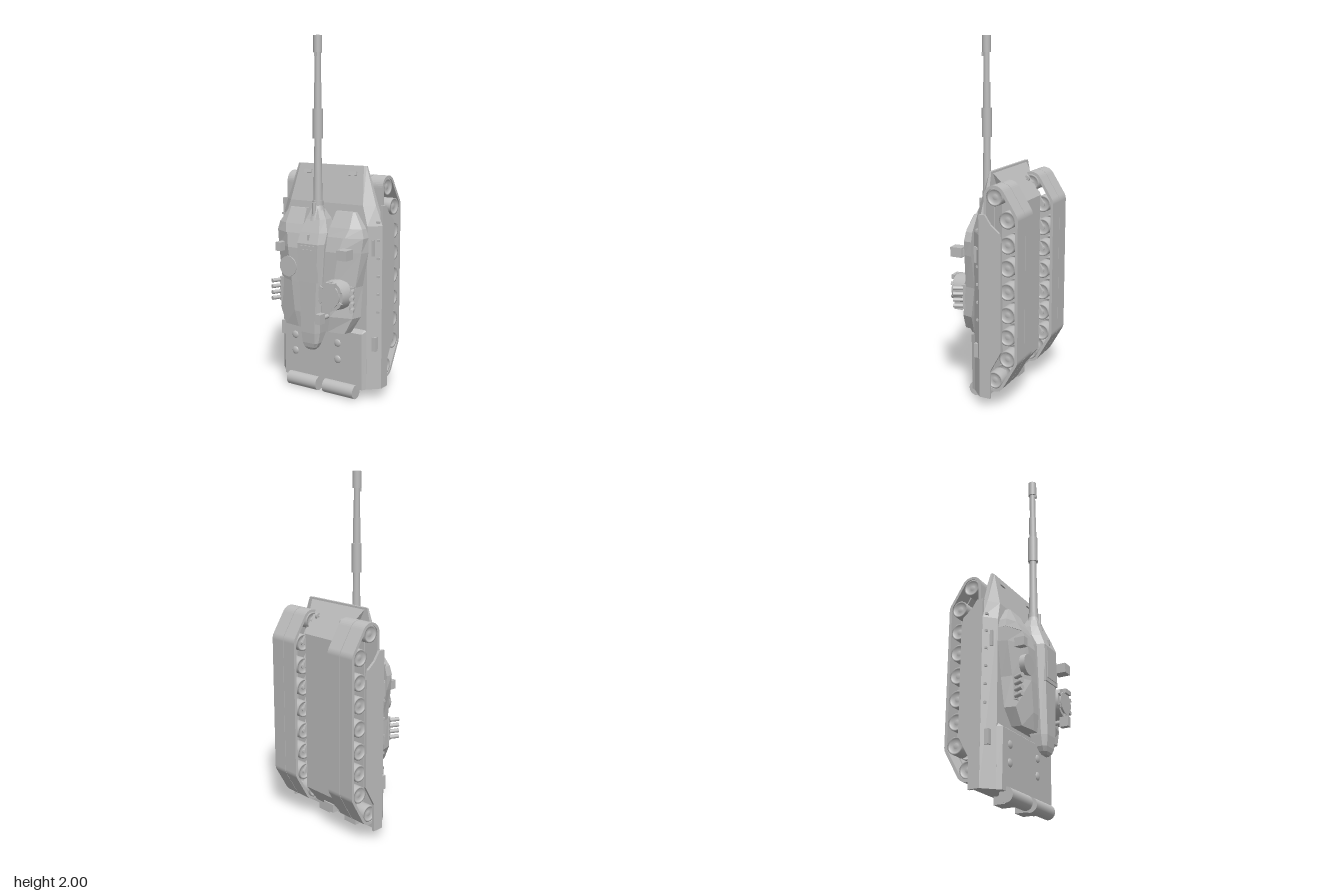
import * as THREE from 'three';

const grey = new THREE.MeshStandardMaterial({ color: 0xbcbcbc });
grey.name = 'light grey paint';

export function createModel() {
  const root = new THREE.Group();
  root.name = 'tank';

  const add = (name, geo, x = 0, y = 0, z = 0) => {
    const m = new THREE.Mesh(geo, grey);
    m.name = name;
    m.position.set(x, y, z);
    root.add(m);
    return m;
  };
  const box = (name, w, h, d, x, y, z) => add(name, new THREE.BoxGeometry(w, h, d), x, y, z);
  const cyl = (name, axis, r1, r2, len, x, y, z, seg = 20) => {
    const g = new THREE.CylinderGeometry(r1, r2, len, seg);
    if (axis === 'x') g.rotateZ(-Math.PI / 2);
    if (axis === 'z') g.rotateX(Math.PI / 2);
    return add(name, g, x, y, z);
  };

  // Flat-faced loft along y; every section is [y, [x, z], [x, z], ...]
  const loft = (name, sections) => {
    const rings = sections.map(([y, ...p]) => p.map(([x, z]) => [x, y, z]));
    const v = [], n = rings[0].length;
    for (let i = 0; i + 1 < rings.length; i++)
      for (let j = 0; j < n; j++) {
        const k = (j + 1) % n, a = rings[i], b = rings[i + 1];
        v.push(...a[j], ...a[k], ...b[k], ...a[j], ...b[k], ...b[j]);
      }
    const first = rings[0], last = rings[rings.length - 1];
    for (let j = 1; j + 1 < n; j++) {
      v.push(...first[0], ...first[j + 1], ...first[j]);
      v.push(...last[0], ...last[j], ...last[j + 1]);
    }
    const g = new THREE.BufferGeometry();
    g.setAttribute('position', new THREE.Float32BufferAttribute(v, 3));
    g.computeVertexNormals();
    return add(name, g);
  };
  const flip = (p) => p.map(([x, z]) => [-x, z]).reverse();
  // Symmetric loft from the +x half of each section, listed deck to belly
  const symLoft = (name, sections) => loft(name, sections.map(([y, ...p]) => [y, ...flip(p), ...p]));
  const sideLoft = (name, s, sections) =>
    loft(name, s > 0 ? sections : sections.map(([y, ...p]) => [y, ...flip(p)]));

  // Extrusion across x of a shape drawn in (-z, y)
  const extrudeX = (name, shape, x0, x1) => {
    const g = new THREE.ExtrudeGeometry(shape, { depth: x1 - x0, bevelEnabled: false, curveSegments: 8 });
    g.rotateY(Math.PI / 2);
    return add(name, g, x0);
  };

  // Hull
  symLoft('upperHull', [
    [0.06, [0.28, 0.03], [0.34, -0.03], [0.34, -0.07]],
    [0.98, [0.28, 0.03], [0.34, -0.03], [0.34, -0.06]],
    [1.09, [0.245, 0.02], [0.3, -0.025], [0.3, -0.06]],
    [1.3, [0.215, -0.035], [0.23, -0.04], [0.23, -0.05]],
  ]);
  symLoft('lowerHull', [
    [0.09, [0.13, 0], [0.13, -0.09]],
    [0.2, [0.13, 0], [0.13, -0.175]],
    [1.12, [0.13, 0], [0.13, -0.175]],
    [1.29, [0.21, -0.037], [0.21, -0.05]],
  ]);
  symLoft('engineDeck', [
    [0.06, [0.265, 0.055], [0.285, 0.02]],
    [0.38, [0.265, 0.058], [0.285, 0.02]],
    [0.4, [0.265, 0.03], [0.285, 0.02]],
  ]);
  cyl('turretRing', 'z', 0.24, 0.24, 0.04, 0, 0.72, 0.03, 40);
  box('towHitch', 0.08, 0.05, 0.05, 0, 0.1, -0.1);
  for (const x of [-0.19, 0.105])
    for (const y of [0.21, 0.305]) {
      const knob = add('deckVent', new THREE.SphereGeometry(0.023, 14, 8), x, y, 0.055);
      knob.scale.z = 0.4;
    }

  // Track path: a band wrapped around four circles, in (-z, y)
  const centres = [[0.112, 0.165], [0.188, 0.3], [0.188, 1.07], [0.115, 1.185]];
  const wrap = (target, r) => {
    const normal = (a, b) => Math.atan2(a[0] - b[0], b[1] - a[1]);
    centres.forEach((c, i) => {
      const a0 = normal(centres[(i + 3) % 4], c), a1 = normal(c, centres[(i + 1) % 4]);
      target.absarc(c[0], c[1], r, a0, a1 < a0 ? a1 + 2 * Math.PI : a1, false);
    });
    return target;
  };
  const makeBand = (outer, inner) => {
    const shape = wrap(new THREE.Shape(), outer);
    shape.holes.push(wrap(new THREE.Path(), inner));
    return shape;
  };
  const band = makeBand(0.063, 0.047), guideBand = makeBand(0.05, 0.04);

  // Dished wheel turned about x
  const wheelGeo = new THREE.LatheGeometry([
    [0, -0.03], [0.014, -0.03], [0.016, -0.026], [0.036, -0.028], [0.038, -0.036], [0.047, -0.036],
    [0.047, 0.036], [0.038, 0.036], [0.036, 0.028], [0.016, 0.026], [0.014, 0.03], [0, 0.03],
  ].map(([r, h]) => new THREE.Vector2(r, h)), 20).toNonIndexed().rotateZ(-Math.PI / 2);
  const wheels = [[0.165, -0.112], [0.3, -0.188], [0.425, -0.188], [0.55, -0.188], [0.68, -0.188],
    [0.81, -0.188], [0.935, -0.188], [1.07, -0.188], [1.185, -0.115]];

  const skirt = new THREE.Shape([[-0.03, 0.06], [-0.03, 1.09], [-0.065, 1.09], [-0.1, 1.04],
    [-0.15, 1.0], [-0.16, 0.95], [-0.16, 0.34], [-0.095, 0.22], [-0.095, 0.06]]
    .map(([z, y]) => new THREE.Vector2(-z, y)));

  for (const s of [-1, 1]) {
    const span = (a, b) => (s > 0 ? [a, b] : [-b, -a]);
    // Running gear
    extrudeX('innerTrack', band, ...span(0.138, 0.23));
    extrudeX('trackGuide', guideBand, ...span(0.229, 0.235));
    extrudeX('outerTrack', band, ...span(0.233, 0.325));
    extrudeX('sideSkirt', skirt, ...span(0.326, 0.341));
    wheels.forEach(([y, z], i) => {
      add('innerWheel', wheelGeo, s * 0.168, y, z);
      add('outerWheel', wheelGeo, s * 0.284, y, z);
      cyl('axle', 'x', 0.014, 0.014, 0.17, s * 0.215, y, z, 10);
      if (i > 0 && i < 8) {
        const arm = box('suspensionArm', 0.02, 0.08, 0.025, s * 0.135, y + 0.03, z + 0.02);
        arm.rotation.x = 0.5;
      }
    });
    // Hull fittings
    for (let y = 0.5; y < 1; y += 0.1) box('skirtClip', 0.02, 0.012, 0.012, s * 0.322, y, -0.014);
    box('sideGrille', 0.035, 0.08, 0.03, s * 0.308, 0.32, -0.005);
    box('sideStowage', 0.012, 0.09, 0.03, s * 0.305, 0.86, 0);
    const lamp = box('headlight', 0.052, 0.022, 0.02, s * 0.152, 1.255, -0.026);
    lamp.rotation.x = -0.3;
    box('towBracket', 0.03, 0.035, 0.02, s * 0.1, 1.2, -0.1);
    cyl('towHook', 'x', 0.017, 0.017, 0.014, s * 0.1, 1.215, -0.105, 12);
    cyl('fuelDrum', 'x', 0.04, 0.04, 0.205, s * 0.125, 0.042, 0.055, 24);
    box('rearBox', 0.09, 0.045, 0.075, s * 0.11, 0.04, -0.02);
    box('rearBracket', 0.03, 0.05, 0.04, s * 0.11, 0.075, -0.05);
    // Turret cheeks
    sideLoft('turretCheek', s, [
      [0.92, [0.08, 0.04], [0.08, 0.13], [0.2, 0.13], [0.292, 0.085], [0.295, 0.04]],
      [0.97, [0.09, 0.04], [0.09, 0.11], [0.215, 0.108], [0.278, 0.08], [0.28, 0.04]],
      [1.055, [0.1, 0.04], [0.1, 0.065], [0.21, 0.065], [0.222, 0.06], [0.222, 0.04]],
    ]);
    // Smoke launchers
    for (let i = 0; i < 4; i++) {
      const tube = cyl('smokeLauncher', 'z', 0.012, 0.011, 0.055, s * 0.257, 0.535 + i * 0.034, 0.145, 12);
      tube.rotation.y = s * 0.4;
    }
    box('launcherMount', 0.02, 0.14, 0.03, s * 0.238, 0.586, 0.112);
  }

  // Turret
  symLoft('turretBody', [
    [0.39, [0.1, 0.145], [0.2, 0.13], [0.21, 0.075]],
    [0.48, [0.12, 0.155], [0.245, 0.12], [0.26, 0.06]],
    [0.65, [0.14, 0.155], [0.25, 0.1], [0.26, 0.04]],
    [0.84, [0.17, 0.15], [0.28, 0.09], [0.295, 0.04]],
    [0.92, [0.19, 0.13], [0.29, 0.085], [0.295, 0.04]],
  ]);
  symLoft('turretSpine', [
    [0.28, [0.015, 0.175], [0.025, 0.165], [0.025, 0.15]],
    [0.295, [0.03, 0.183], [0.04, 0.168], [0.04, 0.142]],
    [0.32, [0.04, 0.189], [0.052, 0.168], [0.052, 0.135]],
    [0.38, [0.044, 0.195], [0.06, 0.165], [0.06, 0.1]],
    [0.88, [0.068, 0.198], [0.088, 0.16], [0.088, 0.045]],
    [0.94, [0.062, 0.175], [0.086, 0.13], [0.086, 0.045]],
    [1.01, [0.045, 0.145], [0.062, 0.11], [0.06, 0.05]],
    [1.07, [0.02, 0.125], [0.032, 0.1], [0.025, 0.07]],
  ]);
  symLoft('roofPanel', [
    [0.67, [0.068, 0.203], [0.068, 0.19]],
    [0.87, [0.056, 0.203], [0.056, 0.19]],
  ]);
  symLoft('roofPanelInset', [
    [0.69, [0.055, 0.207], [0.055, 0.2]],
    [0.85, [0.046, 0.207], [0.046, 0.2]],
  ]);
  box('roofPin', 0.01, 0.03, 0.02, 0, 0.915, 0.185);

  // Hatches and sights
  cyl('cupola', 'z', 0.08, 0.088, 0.08, 0.155, 0.61, 0.16, 28);
  cyl('cupolaHatch', 'z', 0.062, 0.062, 0.012, 0.155, 0.61, 0.204, 28);
  box('cupolaHinge', 0.06, 0.025, 0.02, 0.165, 0.675, 0.212);
  for (let i = 0; i < 6; i++) {
    const a = i * Math.PI / 3 + 0.5;
    const p = box('periscope', 0.02, 0.02, 0.016, 0.155 + 0.072 * Math.cos(a), 0.61 + 0.072 * Math.sin(a), 0.2);
    p.rotation.z = a;
  }
  cyl('loaderHatch', 'z', 0.058, 0.06, 0.03, -0.165, 0.73, 0.142, 24);
  box('gunnerSight', 0.062, 0.055, 0.07, 0.22, 0.838, 0.16);
  box('sightBase', 0.035, 0.04, 0.06, 0.22, 0.838, 0.1);
  box('auxiliarySight', 0.035, 0.05, 0.06, -0.226, 0.838, 0.138);
  box('remoteSight', 0.032, 0.055, 0.05, 0.105, 0.483, 0.225);
  cyl('remoteSightPost', 'z', 0.012, 0.012, 0.07, 0.105, 0.483, 0.18, 12);

  // Gun, from mantlet to muzzle: [bottom y, top y, bottom radius, top radius]
  const gun = [['mantletCollar', 1.0, 1.09, 0.055, 0.028], ['barrelBase', 1.08, 1.45, 0.026, 0.019],
    ['barrelSleeve', 1.45, 1.61, 0.028, 0.028], ['barrelMiddle', 1.61, 1.75, 0.021, 0.021],
    ['barrelTip', 1.75, 1.92, 0.017, 0.017], ['muzzle', 1.91, 2.0, 0.024, 0.024]];
  for (const [name, y0, y1, r0, r1] of gun)
    cyl(name, 'y', r1, r0, y1 - y0, 0, (y0 + y1) / 2, 0.096);
  cyl('barrelCollar', 'y', 0.03, 0.03, 0.03, 0, 1.095, 0.096);
  cyl('coaxialTube', 'y', 0.011, 0.011, 0.09, 0, 1.055, 0.132, 12);
  box('muzzleReference', 0.012, 0.02, 0.012, 0, 1.9, 0.118);
  return root;
}
